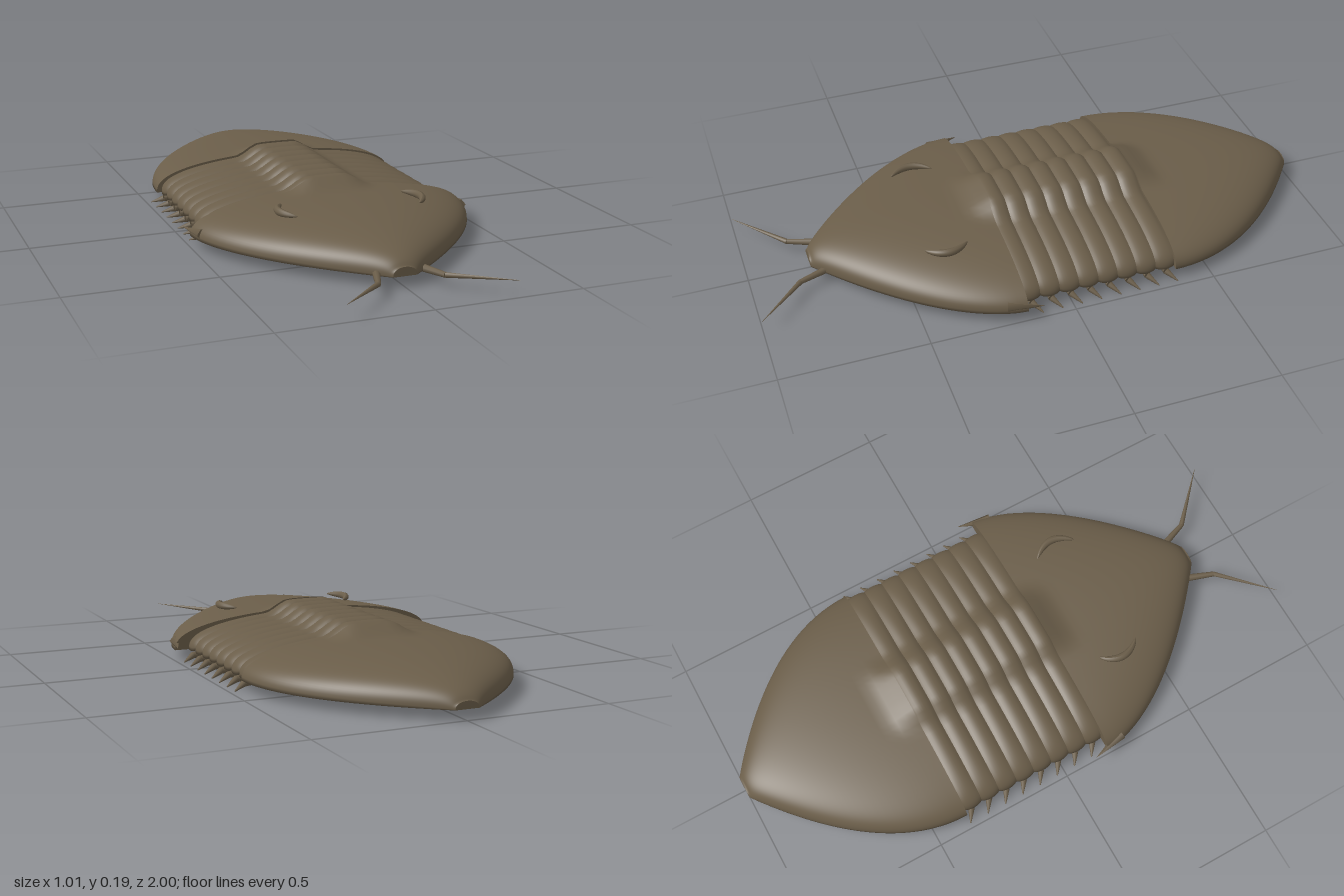
import * as THREE from 'three';

const BASE = 0.035;
const smooth = (a, b, v) => THREE.MathUtils.smoothstep(v, a, b);

// raised central lobe, fading out onto head and tail
const lobe = (x, z) =>
  0.038 * (1 - smooth(0.065, 0.16, Math.abs(x))) * (1 - smooth(0.15, 0.25, z)) * smooth(-0.47, -0.37, z);

// closed solid lofted through stations [z, half width, height, base]: arched top, flat underside
function shell(stations, cols = 56) {
  const pos = [], idx = [], ring = cols + 1;
  stations.forEach(([z, w, h, base = BASE]) => {
    for (let j = 0; j <= cols; j++) {
      const a = (j / cols - 0.5) * Math.PI;
      const x = w * Math.sin(a);
      const arch = Math.pow(Math.max(Math.cos(a), 0), 0.8);
      pos.push(x, base + h * arch + (h > 0 ? lobe(x, z) : 0), z);
    }
  });
  for (let i = 0; i < stations.length - 1; i++) {
    for (let j = 0; j < ring; j++) {
      const a = i * ring + j, c = i * ring + (j + 1) % ring;
      idx.push(a, a + ring, c, c, a + ring, c + ring);
    }
  }
  const g = new THREE.BufferGeometry();
  g.setAttribute('position', new THREE.Float32BufferAttribute(pos, 3));
  g.setIndex(idx);
  g.computeVertexNormals();
  return g;
}

// end wall of a shell: the same outline folded down to its base, with a sharp edge
const wall = ([z, w, h, base]) => [[z, w, 0, base], [z, w, h, base]];

// straight tapered piece from a to b
function taper(a, b, ra, rb, sides = 8) {
  const p = new THREE.Vector3(...a), q = new THREE.Vector3(...b);
  const d = q.clone().sub(p);
  const g = new THREE.CylinderGeometry(rb, ra, d.length(), sides);
  g.applyQuaternion(new THREE.Quaternion().setFromUnitVectors(new THREE.Vector3(0, 1, 0), d.normalize()));
  const m = p.add(q).multiplyScalar(0.5);
  return g.translate(m.x, m.y, m.z);
}

// crescent: curved tube pinched at both ends
function crescent(side) {
  const curve = new THREE.QuadraticBezierCurve3(
    new THREE.Vector3(side * 0.215, 0.147, 0.285),
    new THREE.Vector3(side * 0.290, 0.149, 0.36),
    new THREE.Vector3(side * 0.215, 0.147, 0.435));
  const n = 24, ring = 10;
  const g = new THREE.TubeGeometry(curve, n, 0.013, ring);
  const p = g.attributes.position, v = new THREE.Vector3();
  for (let i = 0; i < p.count; i++) {
    const t = Math.floor(i / (ring + 1)) / n;
    const c = curve.getPointAt(t);
    v.fromBufferAttribute(p, i).sub(c).multiplyScalar(Math.pow(Math.sin(Math.PI * t), 0.6) || 0).add(c);
    p.setXYZ(i, v.x, v.y, v.z);
  }
  g.computeVertexNormals();
  return g;
}

export function createModel() {
  const model = new THREE.Group();
  const shellBrown = new THREE.MeshStandardMaterial({ color: 0x6a5d49, side: THREE.DoubleSide });
  shellBrown.name = 'shell brown';
  const add = (name, geometry) => {
    const mesh = new THREE.Mesh(geometry, shellBrown);
    mesh.name = name;
    model.add(mesh);
  };

  // head and tail shields: ogive outlines, stations crowding toward the tips
  const N = 36, head = [], tail = [];
  for (let i = 0; i <= N; i++) {
    const t = 1 - Math.pow(1 - i / N, 2);
    head.push([0.165 + 0.625 * t, 0.04 + 0.455 * (1 - Math.pow(t, 1.7)),
      Math.max(0.03, 0.118 * Math.pow(1 - Math.pow(t, 2.2), 0.35))]);
    tail.push([-0.375 - 0.625 * t, 0.04 + 0.42 * (1 - Math.pow(t, 2)),
      Math.max(0.025, 0.116 * Math.pow(1 - Math.pow(t, 2.6), 0.4))]);
  }
  add('headShield', shell([...wall(head[0]), ...head, [0.79, 0.04, 0]]));
  tail.reverse();
  add('tailShield', shell([[-1, 0.04, 0], ...tail, ...wall(tail[N]).reverse()]));

  // ribbed thorax segments
  const SEGMENTS = 8, front = 0.175, pitch = 0.069;
  for (let s = 0; s < SEGMENTS; s++) {
    const rows = [];
    for (let i = 0; i <= 8; i++) {
      const bulge = Math.pow(Math.sin(Math.PI * i / 8), 0.7) || 0;
      rows.push([front - pitch * (s + 1) + pitch * i / 8, 0.44 + 0.008 * bulge,
        0.098 + 0.018 * bulge, BASE + 0.006 * (1 - bulge)]);
    }
    add('thoraxSegment', shell([...wall(rows[0]), ...rows, ...wall(rows[8]).reverse()]));
  }

  for (const side of [-1, 1]) {
    add('eye', crescent(side));
    add('cheekSpine', taper([side * 0.472, 0.055, 0.23], [side * 0.504, 0.052, 0.11], 0.02, 0, 5));

    // antennae
    const bend = [side * 0.112, 0.041, 0.84];
    add('antennaBase', taper([side * 0.075, 0.04, 0.74], bend, 0.013, 0.009));
    add('antennaTip', taper(bend, [side * 0.28, 0.055, 1], 0.009, 0.0005));

    // legs, swept backward
    for (let s = 0; s < SEGMENTS; s++) {
      const z = front - pitch * (s + 0.5);
      const knee = [side * 0.44, 0.019, z - 0.006];
      add('upperLeg', taper([side * 0.35, 0.026, z], knee, 0.01, 0.012));
      add('lowerLeg', taper(knee, [side * 0.482, 0.002, z - 0.032], 0.012, 0.002));
    }
  }
  return model;
}
